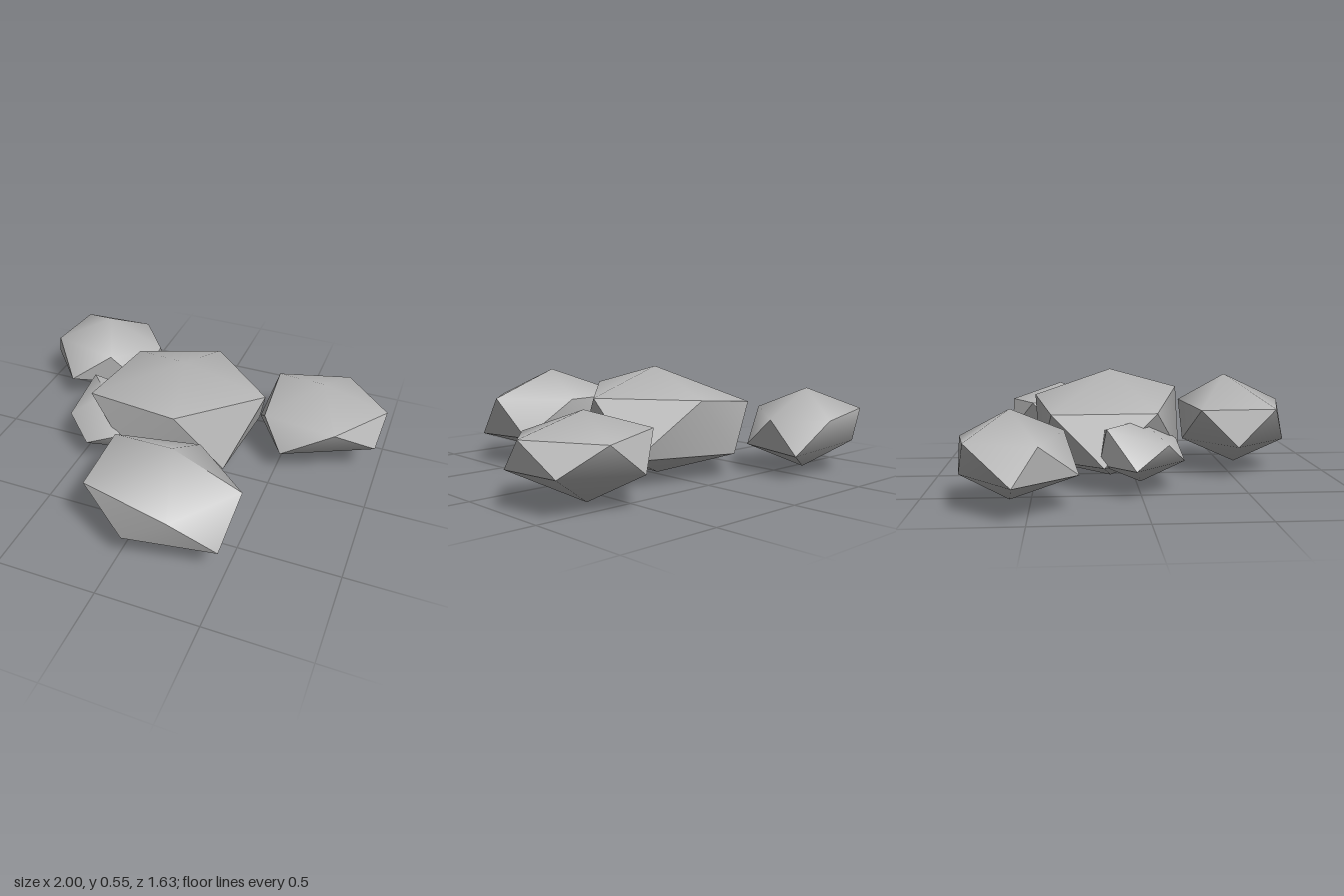
import * as THREE from 'three';
import { ConvexGeometry } from 'three/addons/geometries/ConvexGeometry.js';

const CREASE = 0.7;

// Smooths each corner over the fan of faces reached without crossing a sharp edge
function smoothFans(geometry) {
  const position = geometry.attributes.position;
  const normals = [];
  const faces = [];
  for (let i = 0; i < position.count; i += 3) {
    const corners = [0, 1, 2].map((k) => new THREE.Vector3().fromBufferAttribute(position, i + k));
    faces.push({ corners, normal: new THREE.Triangle(...corners).getNormal(new THREE.Vector3()) });
  }
  const touches = (face, corner) => face.corners.some((c) => c.distanceTo(corner) < 1e-5);
  const joined = (a, b) =>
    a.corners.filter((c) => touches(b, c)).length === 2 && a.normal.angleTo(b.normal) < CREASE;

  for (const face of faces) {
    for (const corner of face.corners) {
      const around = faces.filter((f) => touches(f, corner));
      const fan = new Set([face]);
      // A set visits members added while it is being walked
      for (const member of fan) around.filter((f) => joined(member, f)).forEach((f) => fan.add(f));
      const normal = new THREE.Vector3();
      fan.forEach((f) => normal.add(f.normal));
      normals.push(...normal.normalize().toArray());
    }
  }
  geometry.setAttribute('normal', new THREE.Float32BufferAttribute(normals, 3));
  return geometry;
}

export function createModel() {
  const group = new THREE.Group();
  const stone = new THREE.MeshStandardMaterial({ color: 0xb6b6b6 });
  stone.name = 'stone grey';

  // A rock is a squashed twenty-sided hull: peak, upper ring of five, lower ring of five, base point
  function addRock(name, peak, upperRing, lowerRing, base) {
    const points = [peak, ...upperRing, ...lowerRing, base].map((p) => new THREE.Vector3(...p));
    const mesh = new THREE.Mesh(smoothFans(new ConvexGeometry(points)), stone);
    mesh.name = name;
    group.add(mesh);
  }

  // Large central rock
  addRock('centralRock', [-0.01, 0.545, -0.12],
    [[-0.39, 0.36, -0.41], [0.05, 0.41, -0.5], [0.415, 0.42, -0.15], [0.065, 0.445, 0.225], [-0.45, 0.37, 0.08]],
    [[-0.22, 0.12, -0.47], [0.34, 0.14, -0.35], [0.29, 0.115, 0.11], [-0.2, 0.15, 0.21], [-0.52, 0.13, -0.17]],
    [-0.03, 0, -0.12]);

  // Front rock
  addRock('frontRock', [0.17, 0.5, 0.5],
    [[-0.2, 0.35, 0.325], [0.22, 0.36, 0.26], [0.515, 0.365, 0.52], [0.27, 0.35, 0.815], [-0.18, 0.35, 0.705]],
    [[0, 0.18, 0.255], [0.44, 0.165, 0.37], [0.475, 0.155, 0.715], [0.04, 0.165, 0.795], [-0.22, 0.165, 0.51]],
    [0.12, 0.035, 0.55]);

  // Back rock on the left side
  addRock('backLeftRock', [0.66, 0.415, -0.38],
    [[0.39, 0.325, -0.53], [0.75, 0.31, -0.66], [1, 0.325, -0.38], [0.79, 0.305, -0.11], [0.41, 0.285, -0.18]],
    [[0.55, 0.16, -0.655], [0.93, 0.175, -0.54], [0.98, 0.18, -0.25], [0.53, 0.14, -0.08], [0.34, 0.14, -0.37]],
    [0.65, 0.01, -0.385]);

  // Back rock on the right side
  addRock('backRightRock', [-0.65, 0.425, -0.58],
    [[-0.88, 0.315, -0.755], [-0.52, 0.29, -0.815], [-0.345, 0.29, -0.59], [-0.55, 0.315, -0.35], [-0.925, 0.305, -0.45]],
    [[-0.76, 0.165, -0.79], [-0.37, 0.12, -0.73], [-0.39, 0.14, -0.41], [-0.77, 0.155, -0.285], [-1, 0.15, -0.555]],
    [-0.62, 0.02, -0.59]);

  // Small rock tucked against the central one
  addRock('smallRock', [-0.4, 0.335, 0.01],
    [[-0.55, 0.315, -0.16], [-0.3, 0.27, -0.17], [-0.17, 0.24, 0.02], [-0.25, 0.225, 0.19], [-0.56, 0.24, 0.12]],
    [[-0.48, 0.14, -0.19], [-0.22, 0.13, -0.1], [-0.2, 0.13, 0.14], [-0.43, 0.145, 0.21], [-0.635, 0.135, -0.03]],
    [-0.34, 0.03, 0.01]);

  return group;
}
